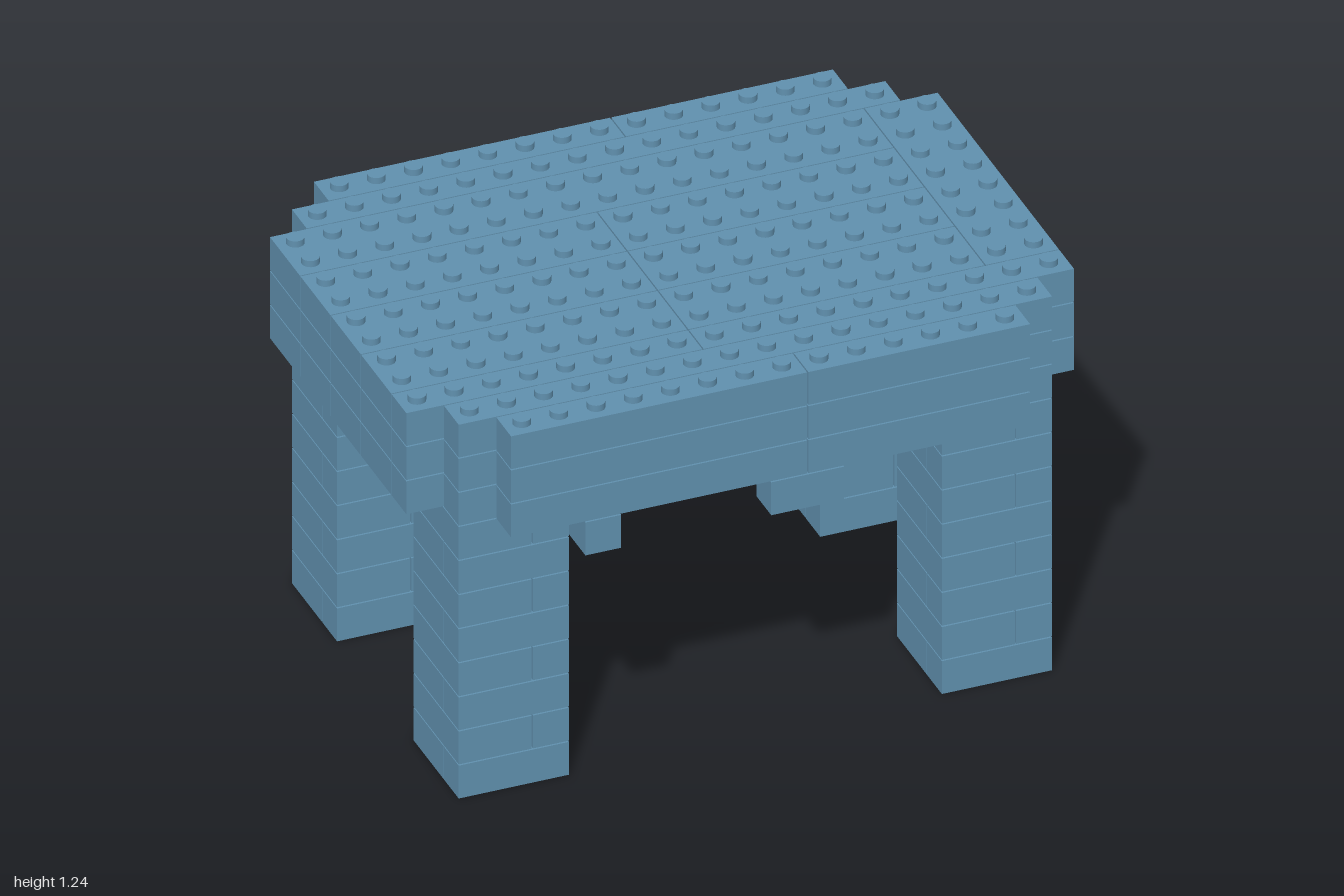
import * as THREE from 'three';
import { mergeGeometries } from 'three/addons/utils/BufferGeometryUtils.js';

const U = 1 / 9;      // one stud pitch, also one brick height
const GAP = 0.004;    // seam between neighbouring bricks

const blue = new THREE.MeshStandardMaterial({ color: 0x6090ae });
blue.name = 'greyBlue';

// Brick from stud-grid limits, on a given layer
function brick(parent, name, x0, x1, z0, z1, layer) {
  const geo = new THREE.BoxGeometry((x1 - x0) * U - GAP, U - GAP, (z1 - z0) * U - GAP);
  const mesh = new THREE.Mesh(geo, blue);
  mesh.name = name;
  mesh.position.set((x0 + x1) / 2 * U, (layer + 0.5) * U, (z0 + z1) / 2 * U);
  parent.add(mesh);
}

function group(parent, name) {
  const g = new THREE.Group();
  g.name = name;
  parent.add(g);
  return g;
}

export function createModel() {
  const model = new THREE.Group();
  model.name = 'brickTable';

  // Four legs, three by three studs, with alternating brick direction
  for (const [x, xName] of [[-8, 'Right'], [5, 'Left']]) {
    for (const [z, zName] of [[2.5, 'front'], [-5.5, 'back']]) {
      const leg = group(model, `${zName}${xName}Leg`);
      for (let layer = 0; layer < 8; layer++) {
        if (layer % 2 === 0) {
          brick(leg, 'legBrick', x, x + 3, z, z + 2, layer);
          brick(leg, 'legBrick', x, x + 3, z + 2, z + 3, layer);
        } else {
          brick(leg, 'legBrick', x, x + 2, z, z + 3, layer);
          brick(leg, 'legBrick', x + 2, x + 3, z, z + 3, layer);
        }
      }
    }
  }

  // Small bricks that tie the underside together
  const ties = group(model, 'undersideBricks');
  for (const s of [-1, 1]) {
    const tie = (x0, x1, za, zb) =>
      brick(ties, 'tieBrick', x0, x1, Math.min(s * za, s * zb), Math.max(s * za, s * zb), 7);
    tie(-5, -4, 4.5, 6.5);
    tie(0, 2, 5.5, 6.5);
    tie(-2, 0, 2.5, 3.5);
  }

  // Three-layer top with stepped corners: [x0, x1, z0, z1]
  const layout = [
    [-9, 7, -4.5, -2.5],
    [-9, -1, -2.5, -0.5], [-1, 7, -2.5, -0.5],
    [-9, -1, -0.5, 1.5], [-1, 7, -0.5, 1.5],
    [-9, -1, 1.5, 3.5], [-1, 7, 1.5, 3.5],
    [-9, -1, 3.5, 4.5], [-1, 9, 3.5, 4.5],
    [7, 9, -4.5, 3.5],
    [-8, 8, 4.5, 5.5], [-8, 8, -5.5, -4.5],
    [-7, 1, 5.5, 6.5], [1, 7, 5.5, 6.5],
    [-7, 1, -6.5, -5.5], [1, 7, -6.5, -5.5],
  ];
  const top = group(model, 'tableTop');
  for (let layer = 8; layer < 11; layer++) {
    for (const b of layout) brick(top, 'topBrick', ...b, layer);
  }

  // Studs over the whole top
  const stud = new THREE.CylinderGeometry(0.026, 0.026, 0.02, 20);
  const studs = [];
  for (let row = -6; row <= 6; row++) {
    const half = Math.min(9, 13 - Math.abs(row));
    for (let x = -half + 0.5; x < half; x++) {
      studs.push(stud.clone().translate(x * U, 11 * U + 0.008, row * U));
    }
  }
  const studMesh = new THREE.Mesh(mergeGeometries(studs), blue);
  studMesh.name = 'topStuds';
  model.add(studMesh);

  return model;
}
